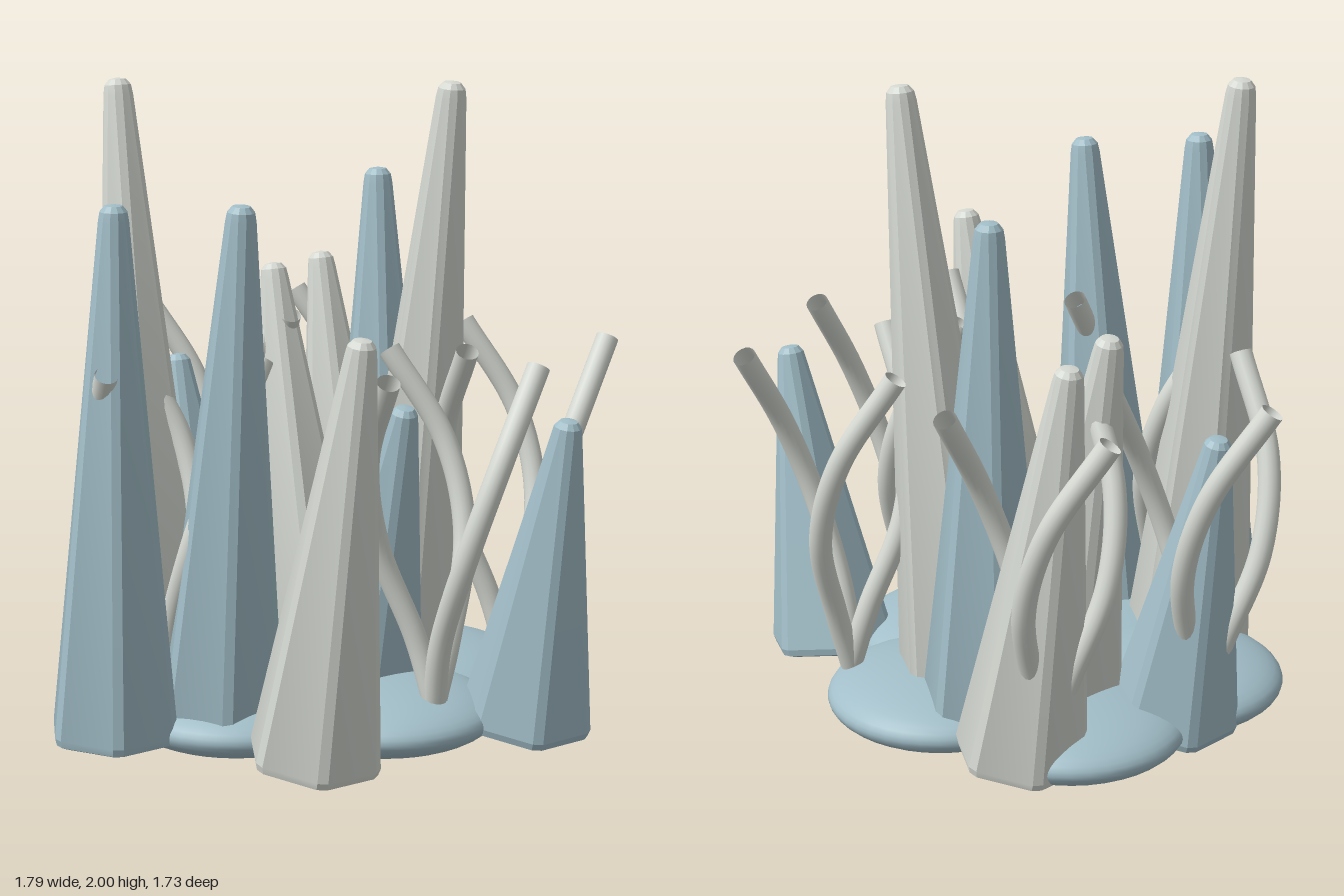
import * as THREE from 'three';
import { toCreasedNormals } from 'three/addons/utils/BufferGeometryUtils.js';

const blue = new THREE.MeshStandardMaterial({ color: 0xa2bec8 });
blue.name = 'pale blue';
const grey = new THREE.MeshStandardMaterial({ color: 0xd5d9d2, side: THREE.DoubleSide });
grey.name = 'light grey';

// Tapered six-sided spire with bevelled edges and a small rounded tip
function spireGeometry(length) {
  const profile = [
    [0, 0], [0.185, 0], [0.204, 0.008], [0.21, 0.03],
    [0.046, length - 0.05], [0.041, length - 0.022], [0.027, length - 0.005], [0, length],
  ].map(([r, y]) => new THREE.Vector2(r, y));
  const geo = new THREE.LatheGeometry(profile, 12, Math.PI / 12);
  const pos = geo.attributes.position;
  const corner = Math.PI / 3;
  for (let i = 0; i < pos.count; i++) {
    const x = pos.getX(i), z = pos.getZ(i), r = Math.hypot(x, z);
    if (r < 0.1) continue;
    // pull pairs of vertices together so the wide end becomes a hexagon
    const a = Math.atan2(x, z), c = Math.round(a / corner) * corner;
    const b = c + (a - c) * 0.3;
    pos.setX(i, Math.sin(b) * r * 0.96);
    pos.setZ(i, Math.cos(b) * r * 0.96);
  }
  geo.deleteAttribute('uv');
  geo.deleteAttribute('normal');
  return toCreasedNormals(geo, 0.35);
}

// [base x, base z, tip x, tip z, tip height, material]
const spires = [
  [0.10, -0.385, 0.325, -0.395, 2.0, grey],
  [-0.155, 0.365, -0.345, 0.365, 2.0, grey],
  [-0.08, -0.46, -0.12, -0.46, 1.69, blue],
  [0.185, 0.36, 0.315, 0.37, 1.69, blue],
  [0.063, 0.66, 0.09, 0.66, 1.69, blue],
  [-0.32, -0.545, -0.51, -0.525, 1.365, grey],
  [-0.18, -0.255, -0.415, -0.265, 1.365, grey],
  [0.59, 0.31, 0.79, 0.295, 1.365, grey],
  [0.20, -0.155, 0.435, -0.14, 1.055, blue],
  [0.68, -0.42, 0.855, -0.415, 1.055, blue],
  [-0.475, -0.045, -0.645, -0.045, 1.055, blue],
];

// Centres of the tendril clusters (x, z)
const clusters = [[0.595, -0.135], [0.37, -0.61], [-0.585, -0.035], [-0.435, -0.54], [0.035, 0.455]];

export function createModel() {
  const model = new THREE.Group();
  model.name = 'crystalCluster';

  // Ring of five flattened boulders
  const boulderGeo = new THREE.SphereGeometry(1, 40, 24);
  for (let i = 0; i < 5; i++) {
    const a = (i / 5) * Math.PI * 2;
    const boulder = new THREE.Mesh(boulderGeo, blue);
    boulder.name = 'boulder';
    boulder.scale.set(0.36, 0.105, 0.355);
    boulder.position.set(0.38 * Math.cos(a), 0.108, -0.1 + 0.375 * Math.sin(a));
    model.add(boulder);
  }

  // Leaning spires
  const up = new THREE.Vector3(0, 1, 0);
  for (const [bx, bz, tx, tz, top, material] of spires) {
    const base = new THREE.Vector3(bx, 0.08, bz);
    const axis = new THREE.Vector3(tx, top, tz).sub(base);
    const spire = new THREE.Mesh(spireGeometry(axis.length()), material);
    spire.name = 'spire';
    spire.position.copy(base);
    spire.quaternion.setFromUnitVectors(up, axis.normalize());
    model.add(spire);
  }

  // Three open curling tendrils around each cluster centre
  const path = new THREE.CatmullRomCurve3([
    [0, 0.17, 0], [-0.05, 0.37, 0.035], [-0.107, 0.66, 0.135],
    [-0.058, 0.93, 0.215], [0.108, 1.205, 0.27],
  ].map((p) => new THREE.Vector3(...p)));
  const tendrilGeo = new THREE.TubeGeometry(path, 40, 0.035, 16);
  for (const [x, z] of clusters) {
    const cluster = new THREE.Group();
    cluster.name = 'tendrilCluster';
    cluster.position.set(x, 0, z);
    for (let i = 0; i < 3; i++) {
      const tendril = new THREE.Mesh(tendrilGeo, grey);
      tendril.name = 'tendril';
      tendril.rotation.y = (i * Math.PI * 2) / 3;
      cluster.add(tendril);
    }
    model.add(cluster);
  }
  return model;
}
